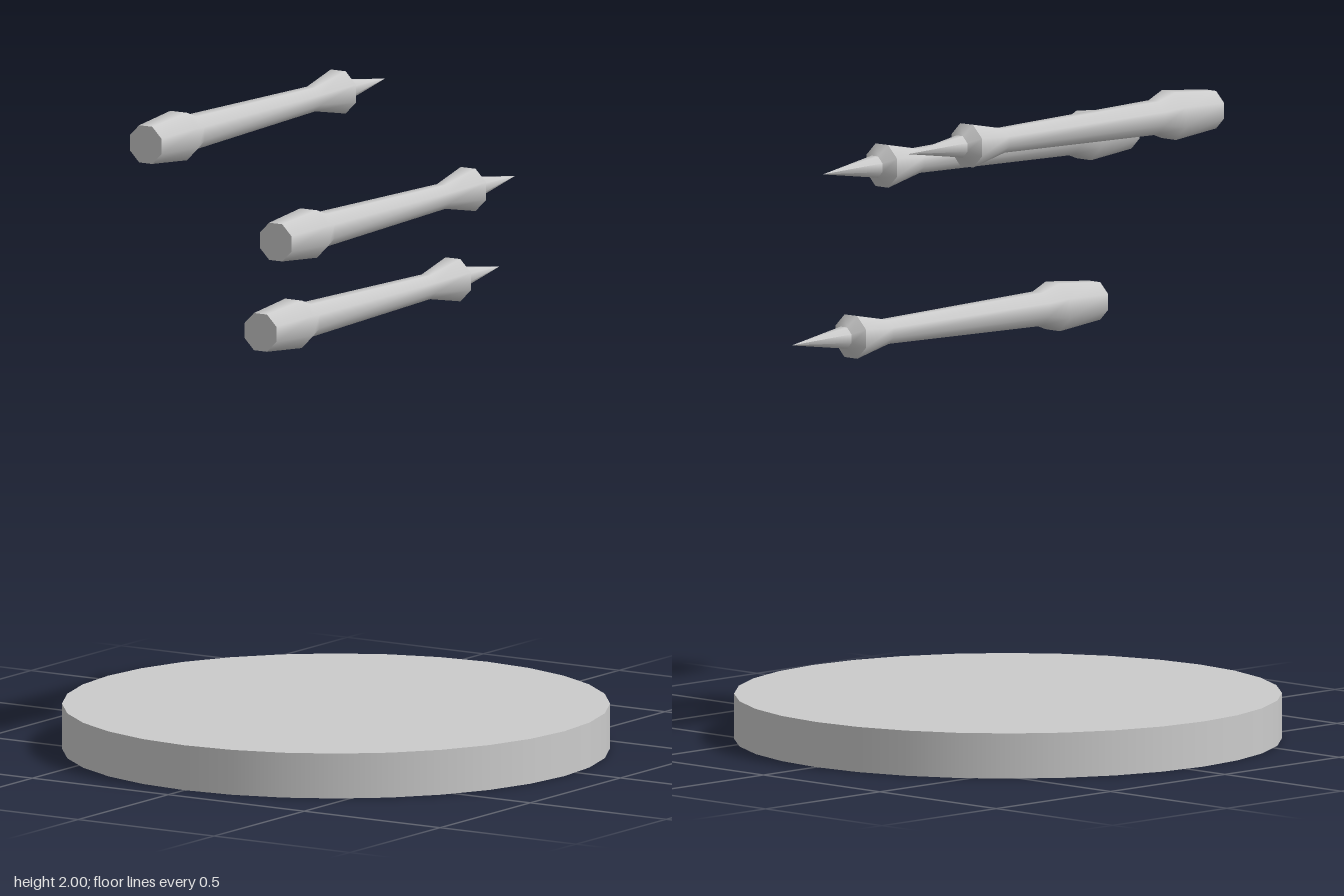
import * as THREE from 'three';

const material = new THREE.MeshStandardMaterial({ color: 0xcccccc });

// Eight-sided turned sections; each entry is [flat-to-centre radius, distance ahead of the butt]
const SIDES = 8;
const sections = {
  butt: [[0, 0], [0.058, 0]],
  grip: [[0.058, 0], [0.074, 0.183], [0.051, 0.25], [0.037, 0.917], [0.066, 1.067]],
  collar: [[0.066, 1.067], [0.033, 1.098]],
  point: [[0.033, 1.098], [0, 1.325]],
};

function section(profile) {
  const points = profile.map(([r, d]) => new THREE.Vector2(r / Math.cos(Math.PI / SIDES), d));
  const geometry = new THREE.LatheGeometry(points, SIDES, Math.PI / SIDES);
  return geometry.rotateX(-Math.PI / 2); // points towards -z
}

export function createModel() {
  const model = new THREE.Group();
  model.name = 'spikesOverDisc';

  // Round base slab
  const disc = new THREE.Mesh(new THREE.CylinderGeometry(0.84, 0.84, 0.14, 32), material);
  disc.name = 'baseDisc';
  disc.position.set(0, 0.07, 0.07);
  model.add(disc);

  // Three identical floating spikes, placed by the centre of the butt
  const parts = Object.entries(sections).map(([name, profile]) => [name, section(profile)]);
  const places = [[-0.345, 1.93, 0.605], [0.37, 1.755, 0.962], [-0.08, 1.335, 0.368]];
  places.forEach((place, i) => {
    const spike = new THREE.Group();
    spike.name = `spike${i + 1}`;
    for (const [name, geometry] of parts) {
      const mesh = new THREE.Mesh(geometry, material);
      mesh.name = name;
      spike.add(mesh);
    }
    spike.position.set(...place);
    model.add(spike);
  });

  return model;
}
